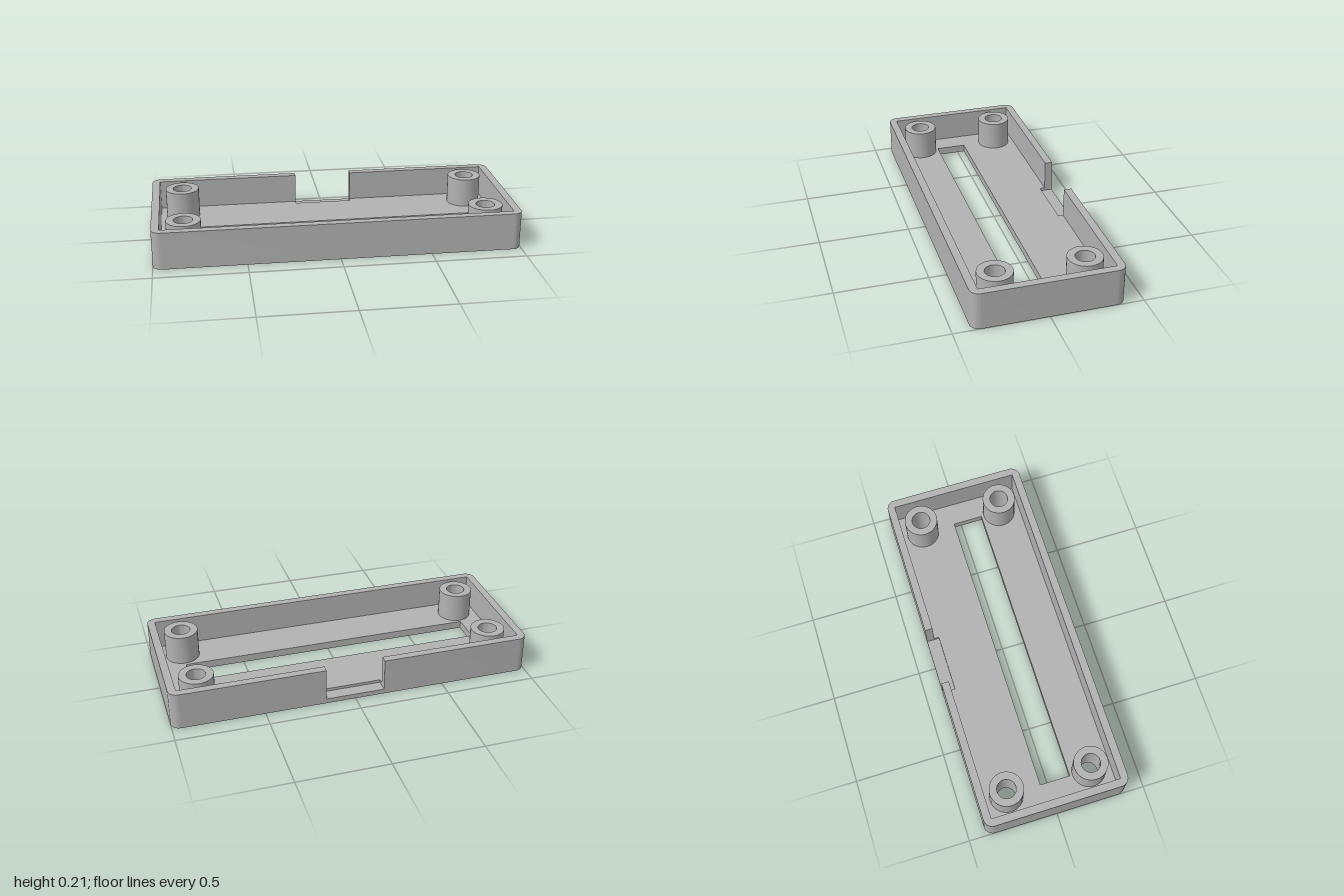
import * as THREE from 'three';
import { toCreasedNormals } from 'three/addons/utils/BufferGeometryUtils.js';

const W = 1, D = 0.403, R = 0.05;            // outer half width, half depth, corner radius
const IW = 0.957, ID = 0.36;                 // inner half width, half depth
const H = 0.208, FLOOR = 0.043, SILL = 0.027; // rim, floor and notch sill heights
const NOTCH = 0.163, NOTCH_IN = 0.332;       // notch half width, inner end
const POST = { x: 0.83, z: 0.237, outer: 0.094, hole: 0.052 };
const posts = [[1, 1], [1, -1], [-1, 1], [-1, -1]].map(([a, b]) => [a * POST.x, b * POST.z]);

export function createModel() {
  const group = new THREE.Group();
  const grey = new THREE.MeshStandardMaterial({ color: 0xb2b2b2 });
  grey.name = 'plain grey';

  // Shapes lie in plan, with shape y pointing to the back (-z)
  const add = (name, shape, y0, y1) => {
    let geo = new THREE.ExtrudeGeometry(shape, { depth: y1 - y0, bevelEnabled: false, curveSegments: 16 });
    geo.rotateX(-Math.PI / 2).translate(0, y0, 0);
    geo = toCreasedNormals(geo, 0.6);
    const mesh = new THREE.Mesh(geo, grey);
    mesh.name = name;
    group.add(mesh);
  };

  const circle = (Type, x, y, r) => new Type().absarc(x, y, r, 0, Math.PI * 2, false);

  // Rounded outline running counter-clockwise from the back edge, left open there
  const outline = (startX, endX) => {
    const s = new THREE.Shape();
    s.moveTo(startX, D);
    s.lineTo(-W + R, D);
    s.absarc(-W + R, D - R, R, Math.PI / 2, Math.PI, false);
    s.absarc(-W + R, -D + R, R, Math.PI, Math.PI * 1.5, false);
    s.absarc(W - R, -D + R, R, Math.PI * 1.5, Math.PI * 2, false);
    s.absarc(W - R, D - R, R, 0, Math.PI / 2, false);
    s.lineTo(endX, D);
    return s;
  };

  // Screw holes and the long slot, which sits a little forward
  const pierce = (s) => {
    posts.forEach(([x, y]) => s.holes.push(circle(THREE.Path, x, y, POST.hole)));
    s.holes.push(new THREE.Path([[-0.83, 0.042], [0.83, 0.042], [0.83, -0.128], [-0.83, -0.128]]
      .map(([x, y]) => new THREE.Vector2(x, y))));
    return s;
  };

  // Base plate up to the notch sill
  add('basePlate', pierce(outline(0, 0)), 0, SILL);

  // Upper floor, recessed at the notch
  const floor = outline(-NOTCH, NOTCH);
  floor.lineTo(NOTCH, NOTCH_IN);
  floor.lineTo(-NOTCH, NOTCH_IN);
  add('floor', pierce(floor), SILL, FLOOR);

  // Perimeter wall, open at the notch, with square inner corners
  const wall = outline(-NOTCH, NOTCH);
  [[NOTCH, ID], [IW, ID], [IW, -ID], [-IW, -ID], [-IW, ID], [-NOTCH, ID]]
    .forEach(([x, y]) => wall.lineTo(x, y));
  add('wall', wall, FLOOR, H);

  // Hollow screw posts, flush with the rim
  posts.forEach(([x, y]) => {
    const ring = circle(THREE.Shape, x, y, POST.outer);
    ring.holes.push(circle(THREE.Path, x, y, POST.hole));
    add('screwPost', ring, FLOOR, H);
  });

  return group;
}
